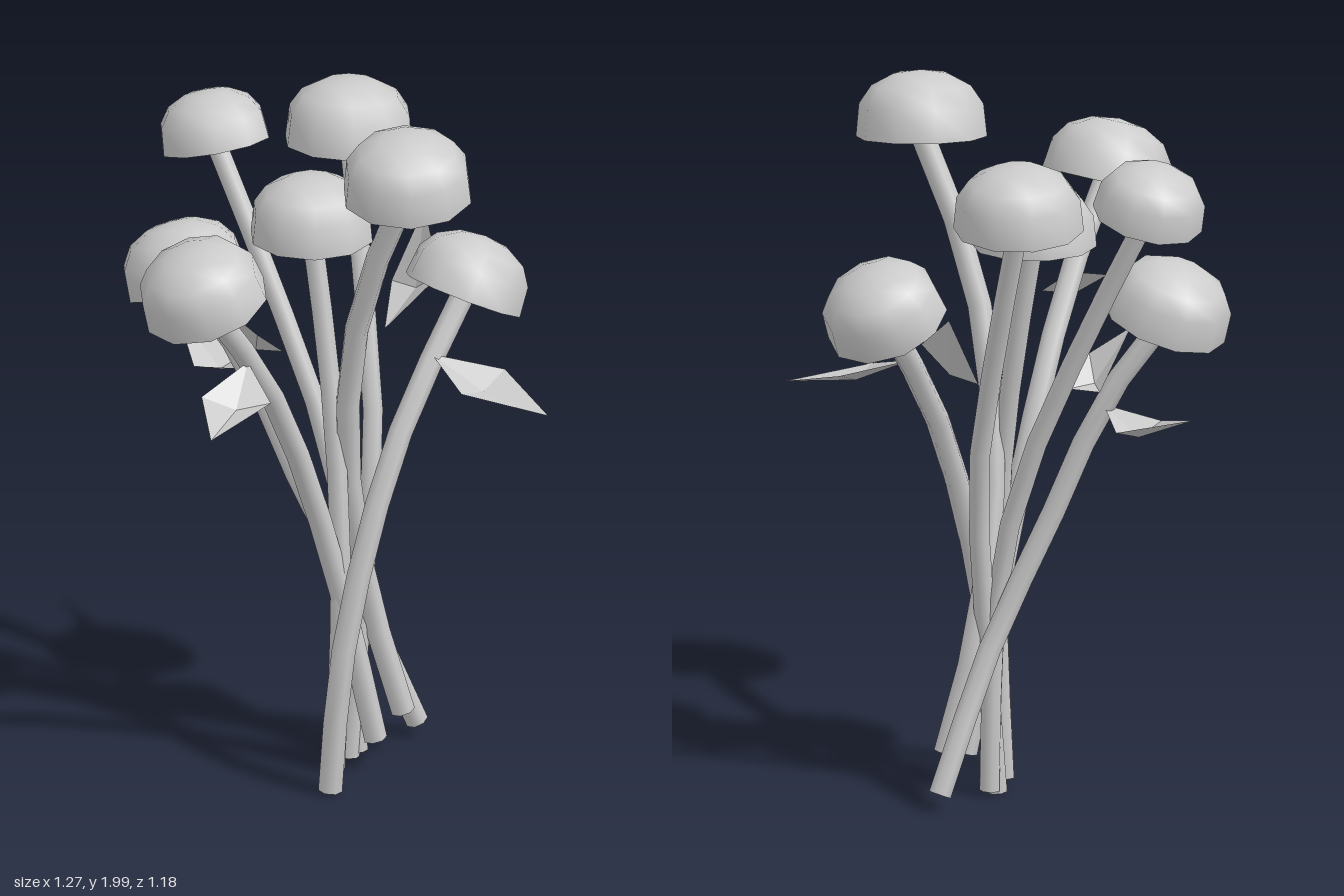
import * as THREE from 'three';
import { toCreasedNormals } from 'three/addons/utils/BufferGeometryUtils.js';

const V = (p) => new THREE.Vector3(...p);
const UP = new THREE.Vector3(0, 1, 0);

// Each flower: cap base centre, tilt axis, cap radius, stem radius, stem points from the ground up
const FLOWERS = [
  { cap: [-0.46, 1.59, 0.205], axis: [-0.35, 0.94, 0], r: 0.178, stem: 0.033,
    path: [[0.18, 0.1, 0.155], [0.1, 0.5, 0.12], [0, 0.82, 0.12], [-0.14, 1.15, 0.14], [-0.3, 1.39, 0.18]] },
  { cap: [-0.08, 1.37, -0.345], axis: [-0.08, 0.94, -0.34], r: 0.176, stem: 0.032,
    path: [[0.42, 0.05, 0.04], [0.25, 0.45, 0], [0.12, 0.8, -0.1], [0.02, 1.15, -0.22]] },
  { cap: [0.083, 1.715, -0.425], axis: [0, 0.95, -0.28], r: 0.155, stem: 0.029,
    path: [[0.21, 0.02, 0.04], [0.2, 0.6, 0.02], [0.18, 0.95, -0.07], [0.13, 1.35, -0.24]] },
  { cap: [0.388, 1.71, -0.22], axis: [0.08, 1, -0.06], r: 0.181, stem: 0.029,
    path: [[0.18, 0.01, 0.04], [0.22, 0.5, 0.05], [0.28, 0.95, 0.02], [0.33, 1.3, -0.08]] },
  { cap: [0.1, 1.57, -0.025], axis: [0, 1, 0], r: 0.174, stem: 0.029,
    path: [[0.085, 0.02, 0.095], [0.085, 0.5, 0.12], [0.09, 0.9, 0.1], [0.1, 1.2, 0.05]] },
  { cap: [0.45, 1.375, 0.205], axis: [0.46, 0.89, 0], r: 0.172, stem: 0.034,
    path: [[-0.02, 0.015, 0.205], [0, 0.4, 0.23], [0.1, 0.8, 0.24], [0.23, 1.08, 0.23]] },
  { cap: [0.125, 1.815, 0.365], axis: [-0.1, 0.98, 0.1], r: 0.182, stem: 0.034,
    path: [[0.31, 0.135, 0.115], [0.22, 0.5, 0.07], [0.14, 0.85, 0.09], [0.1, 1.2, 0.14], [0.09, 1.5, 0.23]] },
];

// Each leaf: base, one side corner, tip, other side corner
const LEAVES = [
  [[-0.3, 1.37, 0.19], [-0.315, 1.29, 0.31], [-0.58, 1.27, 0.375], [-0.48, 1.32, 0.21]],
  [[0.32, 1.24, 0.23], [0.47, 1.2, 0.365], [0.445, 1.14, 0.587], [0.28, 1.19, 0.41]],
  [[0.02, 1.13, -0.21], [0.14, 1.1, -0.36], [0.075, 1.165, -0.59], [-0.04, 1.1, -0.37]],
  [[0.33, 1.24, 0.01], [0.51, 1.36, 0.03], [0.6, 1.48, -0.15], [0.5, 1.28, -0.17]],
  [[0.1, 1.18, -0.15], [0.07, 1.18, -0.24], [-0.06, 1.34, -0.24], [0, 1.26, -0.14]],
];

// Flat-bottomed dome with ten sides
function capGeometry(r) {
  const profile = [[0, 0], [1, 0], [0.95, 0.5], [0.76, 0.78], [0.42, 0.96], [0, 1.02]]
    .map(([x, y]) => new THREE.Vector2(x * r, y * r));
  return toCreasedNormals(new THREE.LatheGeometry(profile, 10), Math.PI / 3.2);
}

// Folded diamond whose centre dips below its corners
function leafGeometry(corners) {
  const [base, a, tip, b] = corners.map(V);
  const centre = a.clone().add(b).multiplyScalar(0.5);
  centre.y -= 0.03;
  const rim = [base, a, tip, b];
  const points = [];
  rim.forEach((p, i) => points.push(centre, p, rim[(i + 1) % 4]));
  const geometry = new THREE.BufferGeometry().setFromPoints(points);
  geometry.computeVertexNormals();
  return geometry;
}

export function createModel() {
  const model = new THREE.Group();
  model.name = 'bouquet';
  const smooth = new THREE.MeshStandardMaterial({ color: 0xcccccc });
  const leafMaterial = new THREE.MeshStandardMaterial({
    color: 0xcccccc, flatShading: true, side: THREE.DoubleSide,
  });

  FLOWERS.forEach(({ cap, axis, r, stem, path }) => {
    const flower = new THREE.Group();
    flower.name = 'flower';

    // Domed bloom
    const head = new THREE.Mesh(capGeometry(r), smooth);
    head.name = 'bloom';
    head.position.set(...cap);
    head.quaternion.setFromUnitVectors(UP, V(axis).normalize());

    // Bent stem reaching just inside the bloom
    const end = V(cap).addScaledVector(V(axis).normalize(), 0.01);
    const curve = new THREE.CatmullRomCurve3([...path.map(V), end]);
    const stalk = new THREE.Mesh(new THREE.TubeGeometry(curve, 7, stem, 7), smooth);
    stalk.name = 'stem';

    // Cut face closing the stem's foot
    const foot = new THREE.Mesh(new THREE.CircleGeometry(stem, 7), smooth);
    foot.name = 'stemFoot';
    foot.position.set(...path[0]);
    foot.quaternion.setFromUnitVectors(new THREE.Vector3(0, 0, 1), curve.getTangent(0).negate());

    flower.add(head, stalk, foot);
    model.add(flower);
  });

  LEAVES.forEach((corners) => {
    const leaf = new THREE.Mesh(leafGeometry(corners), leafMaterial);
    leaf.name = 'leaf';
    model.add(leaf);
  });
  return model;
}
